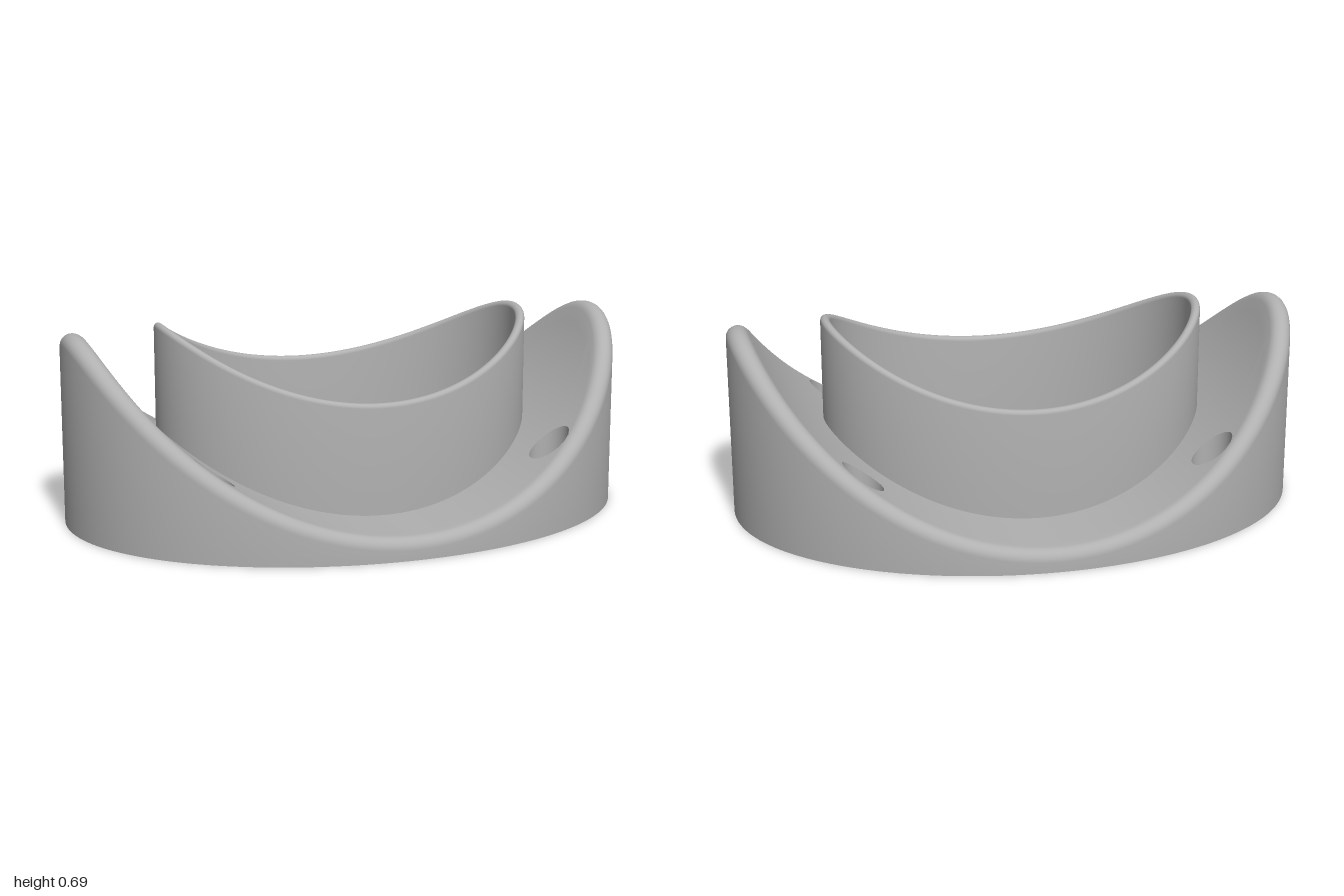
import * as THREE from 'three';
import { mergeGeometries, toCreasedNormals } from 'three/addons/utils/BufferGeometryUtils.js';

const COLS = 160;                                   // columns around the ellipse
const OUTER = [1, 0.735], COLLAR = [0.675, 0.445], BORE = [0.642, 0.412];
const SADDLE = { R: 1.025, cy: 1.1 };               // cylinder that hollows the top
const COLLAR_CUT = { R: 1.03, cy: 1.49 };           // cylinder that trims the collar
const HOLE = [0.604, 0.44];                         // mounting hole centre

const V = (x, y, z) => new THREE.Vector3(x, y, z);
const angle = i => (i / COLS) * Math.PI * 2;
const saddleY = x => SADDLE.cy - Math.sqrt(SADDLE.R ** 2 - x * x);
const onEllipse = ([a, b], t, y) => V(a * Math.cos(t), y, b * Math.sin(t));

// Skins a list of columns of points; closed joins the last column to the first
function skin(columns, closed = true) {
  const n = columns[0].length, index = [];
  const count = closed ? columns.length : columns.length - 1;
  for (let i = 0; i < count; i++) {
    const k = (i + 1) % columns.length;
    for (let j = 0; j < n - 1; j++) {
      const a = i * n + j, b = k * n + j;
      index.push(a, a + 1, b, b, a + 1, b + 1);
    }
  }
  const g = new THREE.BufferGeometry().setFromPoints(columns.flat());
  g.setIndex(index);
  return g;
}

// Smooth normals with sharp corners; scaled up so small fillets stay distinct
function crease(g) {
  g.scale(100, 100, 100);
  const out = toCreasedNormals(g, 0.55);
  out.scale(0.01, 0.01, 0.01);
  return out;
}

// Rounded edge between an elliptical wall and a cylinder cut, from wall to top
function roundedEdge([a, b], t, side, r, cut, steps = 8) {
  const n = V(Math.cos(t) / a, 0, Math.sin(t) / b).normalize().multiplyScalar(side);
  const c = onEllipse([a, b], t, 0).addScaledVector(n, -r);
  c.y = cut.cy - Math.sqrt((cut.R + r) ** 2 - c.x * c.x);
  const u = V(-c.x, cut.cy - c.y, 0).normalize();
  const w = n.angleTo(u), pts = [];
  for (let s = 0; s <= steps; s++) {
    const f = s / steps;
    pts.push(c.clone()
      .addScaledVector(n, r * Math.sin((1 - f) * w) / Math.sin(w))
      .addScaledVector(u, r * Math.sin(f * w) / Math.sin(w)));
  }
  return pts;
}

// Outer wall, saddle-shaped floor and the four counterbored holes
function shellGeometry() {
  const ROWS = 10, walls = [], floor = [];
  for (let i = 0; i <= COLS; i++) {
    const t = angle(i % COLS);
    const edge = roundedEdge(OUTER, t, 1, 0.04, SADDLE);
    walls.push([onEllipse(OUTER, t, 0), ...edge]);
    const from = edge[edge.length - 1], to = onEllipse(COLLAR, t, 0);
    floor.push(Array.from({ length: ROWS + 1 }, (_, j) => {
      const p = from.clone().lerp(to, j / ROWS);
      p.y = saddleY(p.x);
      return p;
    }));
  }
  const parts = [skin(walls, false)];
  const quarter = COLS / 4, lo = 7, hi = 33;
  for (let q = 0; q < 4; q++) {
    const i0 = q * quarter + lo, i1 = q * quarter + hi;
    // plain floor on both sides of the hole patch
    parts.push(skin(floor.slice(q * quarter, i0 + 1), false));
    parts.push(skin(floor.slice(i1, (q + 1) * quarter + 1), false));
    // patch outline, walked once around the hole
    const rim = [];
    for (let i = i0; i < i1; i++) rim.push(floor[i][0]);
    for (let j = 0; j < ROWS; j++) rim.push(floor[i1][j]);
    for (let i = i1; i > i0; i--) rim.push(floor[i][ROWS]);
    for (let j = ROWS; j > 0; j--) rim.push(floor[i0][j]);
    const cx = HOLE[0] * (q === 0 || q === 3 ? 1 : -1), cz = HOLE[1] * (q < 2 ? 1 : -1);
    parts.push(skin(rim.map(p => {
      const t = Math.atan2(p.z - cz, p.x - cx);
      const ring = (r, y) => V(cx + r * Math.cos(t), y, cz + r * Math.sin(t));
      const mouth = ring(0.068, 0), col = [];
      for (let s = 0; s <= 8; s++) {
        const m = p.clone().lerp(mouth, s / 8);
        m.y = saddleY(m.x);
        col.push(m);
      }
      // counterbore wall, seat and through hole
      col.push(ring(0.068, 0.12), ring(0.036, 0.12), ring(0.036, 0));
      return col;
    })));
  }
  return crease(mergeGeometries(parts));
}

// Thin elliptical collar with a rounded lip, bored through to the base
function collarGeometry() {
  const cols = [];
  for (let i = 0; i < COLS; i++) {
    const t = angle(i), foot = onEllipse(COLLAR, t, 0);
    foot.y = saddleY(foot.x);
    cols.push([foot,
      ...roundedEdge(COLLAR, t, 1, 0.015, COLLAR_CUT, 6),
      ...roundedEdge(BORE, t, -1, 0.015, COLLAR_CUT, 6).reverse(),
      onEllipse(BORE, t, 0)]);
  }
  return crease(skin(cols));
}

export function createModel() {
  const group = new THREE.Group();
  const grey = new THREE.MeshStandardMaterial({ color: 0xb0b0b0, side: THREE.DoubleSide });
  grey.name = 'plain grey';
  const add = (name, geometry) => {
    const mesh = new THREE.Mesh(geometry, grey);
    mesh.name = name;
    group.add(mesh);
    return mesh;
  };

  add('saddleBody', shellGeometry());
  add('collar', collarGeometry());

  // Flat underside with bore, through holes and blind sockets
  const sockets = [[0.9, 0], [-0.9, 0], [0, 0.66], [0, -0.66]];
  const base = new THREE.Shape().absellipse(0, 0, ...OUTER, 0, Math.PI * 2);
  const cut = (x, y, a, b) =>
    base.holes.push(new THREE.Path().absellipse(x, y, a, b, 0, Math.PI * 2, true));
  cut(0, 0, ...BORE);
  for (const sx of [1, -1]) for (const sz of [1, -1]) cut(sx * HOLE[0], sz * HOLE[1], 0.036, 0.036);
  for (const [x, z] of sockets) cut(x, z, 0.05, 0.05);
  add('base', new THREE.ShapeGeometry(base, COLS / 2).rotateX(Math.PI / 2));

  // Chamfered blind sockets
  const profile = [[0.05, 0], [0.041, 0.01], [0.041, 0.038], [0, 0.038]]
    .map(p => new THREE.Vector2(...p));
  const socket = crease(new THREE.LatheGeometry(profile, 40));
  for (const [x, z] of sockets) add('baseSocket', socket).position.set(x, 0, z);

  return group;
}
